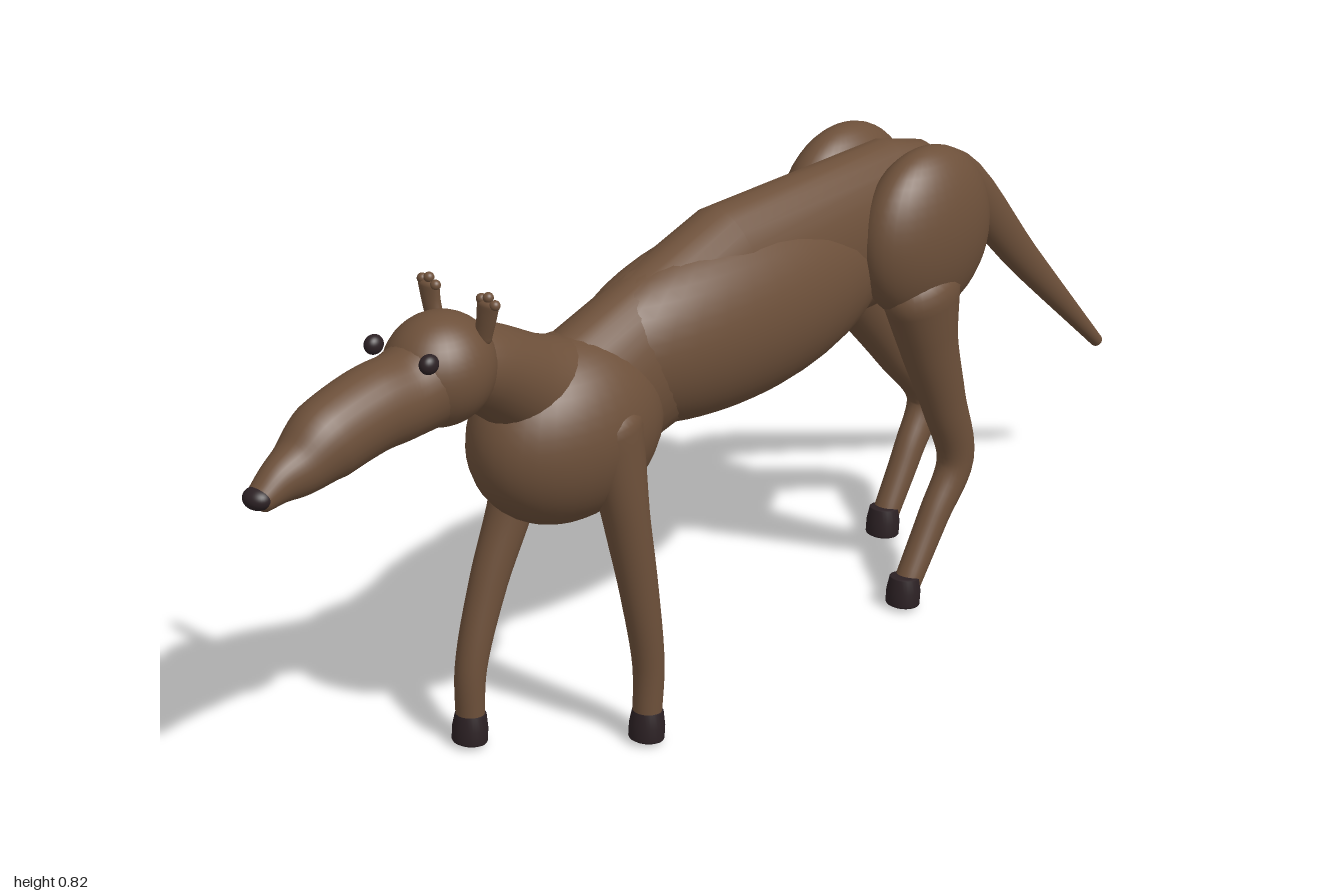
import * as THREE from 'three';

const coat = new THREE.MeshStandardMaterial({ color: 0x6d503a });
coat.name = 'brownCoat';
const dark = new THREE.MeshStandardMaterial({ color: 0x2c2124 });
dark.name = 'darkHorn';

const SIDES = 28;

// Loft of elliptical rings; each station is [x, y, z, radius across x, radius in the yz plane].
function loft(stations, { smooth = true, startDome = 1, endDome = 1 } = {}) {
  let s = stations;
  if (smooth) {
    const path = new THREE.CatmullRomCurve3(s.map(p => new THREE.Vector3(p[0], p[1], p[2])));
    const size = new THREE.CatmullRomCurve3(s.map(p => new THREE.Vector3(p[3], p[4], 0)));
    const n = (s.length - 1) * 6;
    s = Array.from({ length: n + 1 }, (_, i) => {
      const a = path.getPoint(i / n), b = size.getPoint(i / n);
      return [a.x, a.y, a.z, b.x, b.y];
    });
  }
  const X = new THREE.Vector3(1, 0, 0);
  const rings = s.map((p, i) => {
    const a = s[Math.max(i - 1, 0)], b = s[Math.min(i + 1, s.length - 1)];
    const t = new THREE.Vector3(0, b[1] - a[1], b[2] - a[2]).normalize();
    return { c: new THREE.Vector3(p[0], p[1], p[2]), t, rx: p[3], ry: p[4] };
  });
  // Rounded ends
  const dome = (r, sign, amount) => [1, 2, 3, 4, 5].map(k => {
    const a = k * Math.PI / 10, f = Math.max(Math.cos(a), 0.001);
    const c = r.c.clone().addScaledVector(r.t, sign * Math.sin(a) * Math.min(r.rx, r.ry) * amount);
    return { c, t: r.t, rx: r.rx * f, ry: r.ry * f };
  });
  const all = [...dome(rings[0], -1, startDome).reverse(), ...rings, ...dome(rings[rings.length - 1], 1, endDome)];
  const pos = [], idx = [];
  all.forEach((r, i) => {
    const up = new THREE.Vector3().crossVectors(r.t, X);
    for (let j = 0; j < SIDES; j++) {
      const a = j / SIDES * Math.PI * 2;
      const p = r.c.clone().addScaledVector(X, Math.cos(a) * r.rx).addScaledVector(up, Math.sin(a) * r.ry);
      pos.push(p.x, p.y, p.z);
      if (i < all.length - 1) {
        const k = (j + 1) % SIDES, A = i * SIDES + j, B = i * SIDES + k;
        idx.push(A, B, A + SIDES, B, B + SIDES, A + SIDES);
      }
    }
  });
  const g = new THREE.BufferGeometry();
  g.setAttribute('position', new THREE.Float32BufferAttribute(pos, 3));
  g.setIndex(idx);
  g.computeVertexNormals();
  return g;
}

export function createModel() {
  const model = new THREE.Group();
  model.name = 'animal';
  const add = (name, geometry, material = coat) => {
    const m = new THREE.Mesh(geometry, material);
    m.name = name;
    model.add(m);
    return m;
  };
  const ball = (name, [x, y, z], [rx, ry, rz], material = coat) => {
    const m = add(name, new THREE.SphereGeometry(1, 36, 24), material);
    m.position.set(x, y, z);
    m.scale.set(rx, ry, rz);
    return m;
  };

  // Trunk
  add('back', loft([
    [0, 0.645, -0.46, 0.07, 0.115], [0, 0.645, -0.39, 0.08, 0.135],
    [0, 0.64, 0, 0.085, 0.14], [0, 0.545, 0.35, 0.085, 0.125],
  ], { smooth: false }));
  ball('ribcage', [0, 0.6, -0.01], [0.115, 0.15, 0.36]);
  ball('chest', [0, 0.525, 0.36], [0.118, 0.147, 0.178]);

  // Neck, head and muzzle
  add('neck', loft([
    [0, 0.55, 0.33, 0.09, 0.11], [0, 0.625, 0.45, 0.07, 0.076],
    [0, 0.685, 0.55, 0.066, 0.066], [0, 0.7, 0.61, 0.06, 0.06],
  ]));
  ball('skull', [0, 0.702, 0.62], [0.08, 0.086, 0.09]);
  add('muzzle', loft([
    [0, 0.695, 0.64, 0.07, 0.074], [0, 0.685, 0.70, 0.063, 0.066],
    [0, 0.683, 0.76, 0.06, 0.065], [0, 0.664, 0.85, 0.055, 0.062],
    [0, 0.643, 0.90, 0.043, 0.046], [0, 0.632, 0.94, 0.031, 0.034],
    [0, 0.617, 0.975, 0.023, 0.021],
  ], { endDome: 0.6 }));
  ball('nose', [0, 0.62, 0.979], [0.023, 0.017, 0.021], dark);

  // Tail
  add('tail', loft([
    [0, 0.685, -0.5, 0.036, 0.045], [0, 0.665, -0.57, 0.034, 0.045],
    [0, 0.46, -0.77, 0.023, 0.03], [0, 0.245, -0.985, 0.011, 0.011],
  ], { endDome: 0.5 }));

  for (const side of [1, -1]) {
    const label = side > 0 ? 'left' : 'right';

    // Eyes, and ears with a forked tip
    ball(label + 'Eye', [side * 0.056, 0.747, 0.695], [0.013, 0.015, 0.016], dark);
    add(label + 'Ear', loft([
      [side * 0.048, 0.75, 0.578, 0.015, 0.012], [side * 0.056, 0.78, 0.578, 0.017, 0.011],
      [side * 0.06, 0.803, 0.578, 0.02, 0.01],
    ], { endDome: 0.8 }));
    for (const [dx, dy] of [[-0.013, 0.81], [0.001, 0.815], [0.014, 0.806]]) {
      ball(label + 'EarTip', [side * 0.06 + dx, dy, 0.578], [0.008, 0.008, 0.008]);
    }

    // Haunch
    ball(label + 'Haunch', [side * 0.084, 0.642, -0.39], [0.073, 0.143, 0.142]);

    // Legs stand in mid stride, so each side has its own fore-and-aft positions
    const fore = side > 0 ? [0.345, 0.325, 0.305, 0.288, 0.292] : [0.355, 0.385, 0.435, 0.475, 0.48];
    add(label + 'ForeLeg', loft([
      [side * 0.082, 0.54, fore[0], 0.04, 0.055], [side * 0.09, 0.39, fore[1], 0.036, 0.037],
      [side * 0.097, 0.26, fore[2], 0.029, 0.031], [side * 0.099, 0.13, fore[3], 0.025, 0.025],
      [side * 0.099, 0.04, fore[4], 0.023, 0.022],
    ], { endDome: 0.3 }));

    const hind = side > 0 ? [-0.365, -0.385, -0.425, -0.46, -0.41, -0.345] : [-0.39, -0.455, -0.55, -0.635, -0.59, -0.53];
    add(label + 'HindLeg', loft([
      [side * 0.1, 0.55, hind[0], 0.055, 0.075], [side * 0.1, 0.46, hind[1], 0.046, 0.053],
      [side * 0.103, 0.34, hind[2], 0.035, 0.04], [side * 0.103, 0.225, hind[3], 0.029, 0.033],
      [side * 0.1, 0.14, hind[4], 0.025, 0.027], [side * 0.099, 0.04, hind[5], 0.023, 0.022],
    ], { endDome: 0.3 }));

    // Hooves
    for (const [name, z] of [['ForeHoof', side > 0 ? 0.292 : 0.48], ['HindHoof', side > 0 ? -0.335 : -0.523]]) {
      add(label + name, loft([
        [side * 0.099, 0.052, z - 0.002, 0.025, 0.024], [side * 0.099, 0.03, z, 0.029, 0.027],
        [side * 0.099, 0.008, z + 0.002, 0.029, 0.027],
      ], { smooth: false, startDome: 0.15, endDome: 0.28 }), dark);
    }
  }
  return model;
}
